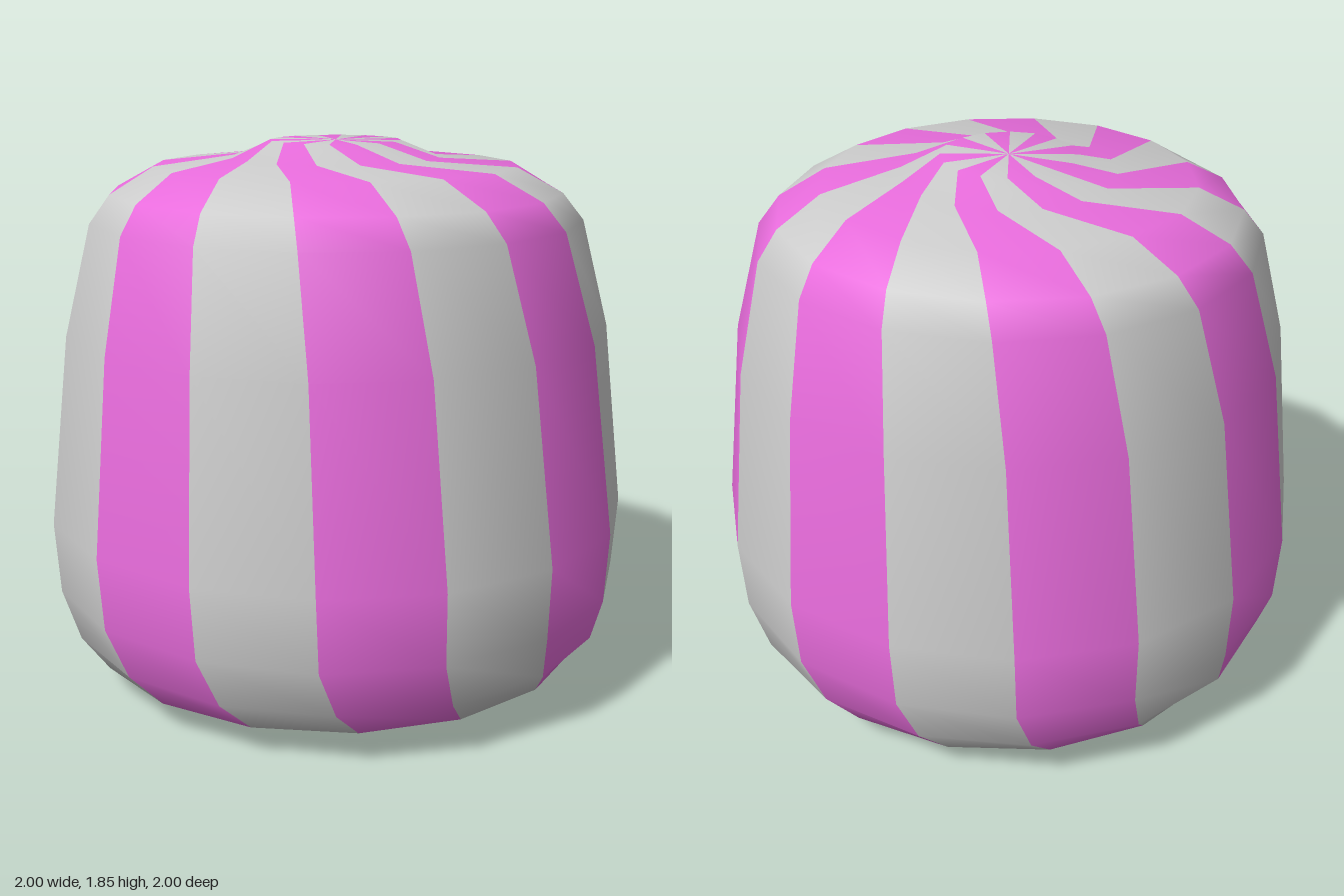
import * as THREE from 'three';

const SIDES = 16;

// Rings from bottom to top: radius, height, twist in degrees
const RINGS = [
  [0, 0, 48], [0.22, 0, 48], [0.47, 0.07, 28], [0.86, 0.105, 8],
  [0.935, 0.2, 3.4], [0.985, 0.36, 0.4], [1, 0.6, 0], [0.925, 1.23, -1.5],
  [0.83, 1.59, -4.2], [0.76, 1.68, -5.8], [0.61, 1.765, -9.5],
  [0.35, 1.79, -29], [0.22, 1.845, -47], [0, 1.845, -47],
];

// Shared smooth surface of the whole twisted body
function bodySurface() {
  const positions = [];
  for (const [r, y, twist] of RINGS) {
    for (let j = 0; j < SIDES; j++) {
      const a = (j / SIDES) * Math.PI * 2 + THREE.MathUtils.degToRad(twist);
      positions.push(r * Math.sin(a), y, r * Math.cos(a));
    }
  }
  const geometry = new THREE.BufferGeometry();
  geometry.setAttribute('position', new THREE.Float32BufferAttribute(positions, 3));
  geometry.setIndex([...stripeFaces(0), ...stripeFaces(1)]);
  geometry.computeVertexNormals();
  // The pole points take the axis direction
  const normal = geometry.attributes.normal;
  for (let j = 0; j < SIDES; j++) {
    normal.setXYZ(j, 0, -1, 0);
    normal.setXYZ((RINGS.length - 1) * SIDES + j, 0, 1, 0);
  }
  return geometry;
}

// Faces of every second stripe, running from pole to pole
function stripeFaces(start) {
  const faces = [];
  for (let j = start; j < SIDES; j += 2) {
    for (let i = 0; i < RINGS.length - 1; i++) {
      const a = i * SIDES + j, b = i * SIDES + (j + 1) % SIDES;
      const c = b + SIDES, d = a + SIDES;
      if (RINGS[i][0] > 0) faces.push(a, b, d);
      if (RINGS[i + 1][0] > 0) faces.push(b, c, d);
    }
  }
  return faces;
}

export function createModel() {
  const model = new THREE.Group();
  model.name = 'stripedCandy';
  const surface = bodySurface();

  // Alternating plain and pink stripes share the same smooth normals
  const stripes = [['plainStripes', 0, 0xcccccc], ['pinkStripes', 1, 0xe86cdc]];
  for (const [name, start, color] of stripes) {
    const geometry = new THREE.BufferGeometry();
    geometry.setAttribute('position', surface.attributes.position);
    geometry.setAttribute('normal', surface.attributes.normal);
    geometry.setIndex(stripeFaces(start));
    const mesh = new THREE.Mesh(geometry, new THREE.MeshStandardMaterial({ color }));
    mesh.name = name;
    model.add(mesh);
  }
  return model;
}
